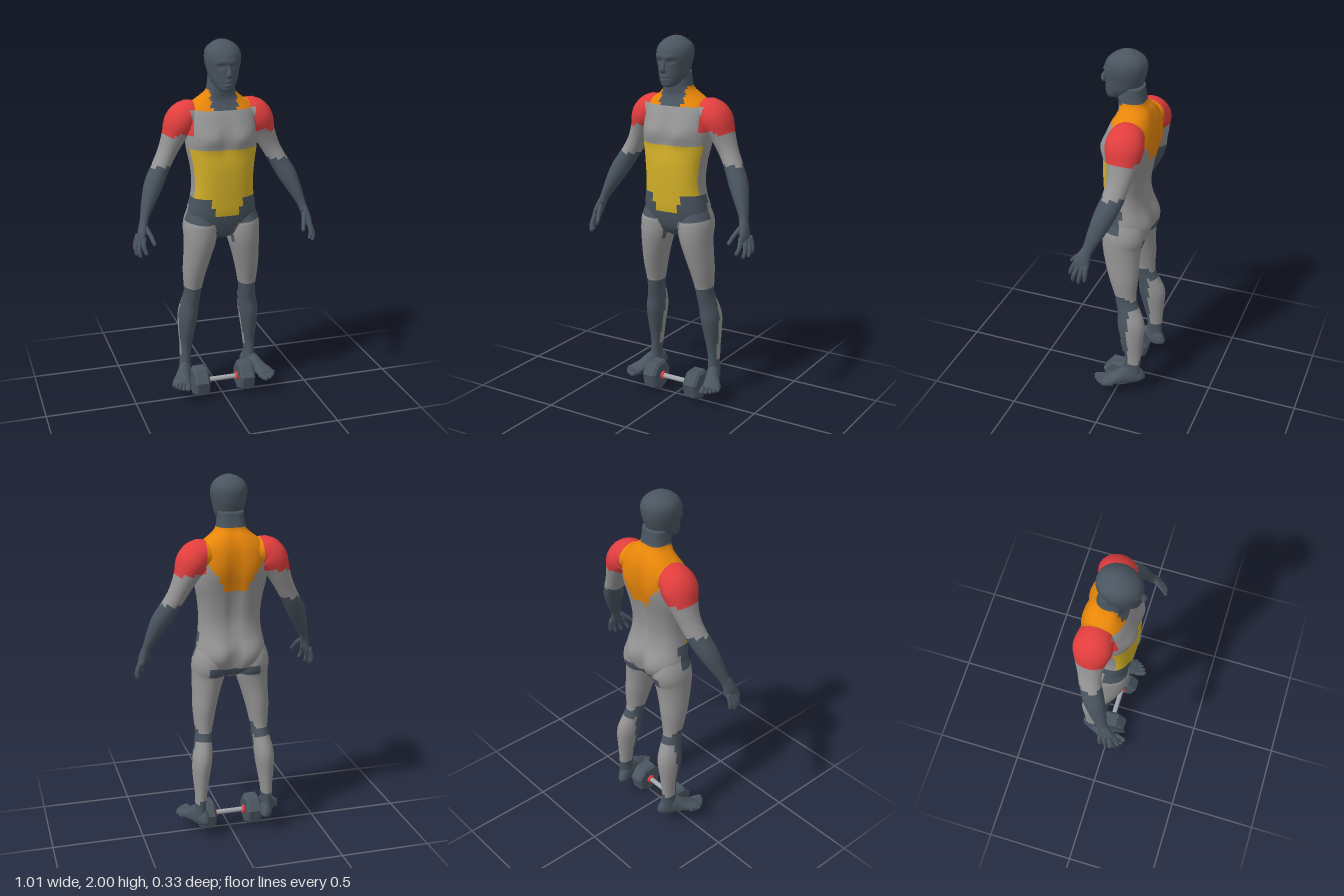
import * as THREE from 'three';

const mat = (name, color) => Object.assign(new THREE.MeshStandardMaterial({ color }), { name });
const DARK = 0, GREY = 1, RED = 2, ORANGE = 3, YELLOW = 4;

// Catmull-Rom resampling of rows of numbers
function smooth(rows, n) {
  const out = [], last = rows.length - 1;
  for (let i = 0; i <= n; i++) {
    const s = (i / n) * last, k = Math.min(Math.floor(s), last - 1), t = s - k;
    const at = (j) => rows[Math.max(0, Math.min(last, j))];
    out.push(rows[k].map((_, c) => {
      const [a, b, d, e] = [at(k - 1)[c], at(k)[c], at(k + 1)[c], at(k + 2)[c]];
      return b + 0.5 * t * (d - a + t * (2 * a - 5 * b + 4 * d - e + t * (3 * (b - d) + e - a)));
    }));
  }
  return out;
}

// Skin closed rings of points; paint(centre) picks the material index of each face
function loft(rings, paint = () => DARK) {
  const m = rings[0].length, pos = [], faces = [[], [], [], [], []];
  rings.flat().forEach((v) => pos.push(v.x, v.y, v.z));
  const ends = [rings[0], rings[rings.length - 1]].map((r) => {
    const c = r.reduce((s, v) => s.add(v), new THREE.Vector3()).divideScalar(m);
    pos.push(c.x, c.y, c.z);
    return { id: pos.length / 3 - 1, colour: paint(c.x, c.y, c.z) };
  });
  const top = (rings.length - 1) * m;
  for (let j = 0; j < m; j++) {
    const k = (j + 1) % m;
    for (let i = 0; i < rings.length - 1; i++) {
      const c = rings[i][j].clone().add(rings[i][k]).add(rings[i + 1][j]).add(rings[i + 1][k]).divideScalar(4);
      const a = i * m + j, b = i * m + k;
      faces[paint(c.x, c.y, c.z)].push(a, a + m, b, b, a + m, b + m);
    }
    faces[ends[0].colour].push(ends[0].id, j, k);
    faces[ends[1].colour].push(ends[1].id, top + k, top + j);
  }
  const g = new THREE.BufferGeometry();
  g.setAttribute('position', new THREE.Float32BufferAttribute(pos, 3));
  g.setIndex(faces.flat());
  let start = 0;
  faces.forEach((f, i) => { if (f.length) g.addGroup(start, f.length, i); start += f.length; });
  g.computeVertexNormals();
  return g;
}

// Horizontal sections: [y, half width, z front, z back]
function trunk(rows, n, segs, power, bend, paint) {
  return loft(smooth(rows, n).map(([y, w, zf, zb]) => Array.from({ length: segs }, (_, j) => {
    const a = (j / segs) * Math.PI * 2, c = Math.cos(a), s = Math.sin(a);
    const f = (q) => Math.sign(q) * Math.abs(q) ** power;
    return bend(new THREE.Vector3(w * f(c), y, (zf + zb) / 2 + ((zf - zb) / 2) * f(s)));
  })), paint);
}

// Sections across a path: [x, y, z, radius u, radius v]
function limb(rows, n, segs, paint, ref = new THREE.Vector3(0, 0, 1), floor = -1) {
  const p = smooth(rows, n), P = p.map((r) => new THREE.Vector3(r[0], r[1], r[2]));
  return loft(p.map((r, i) => {
    const t = P[Math.min(n, i + 1)].clone().sub(P[Math.max(0, i - 1)]).normalize();
    const u = t.clone().cross(ref).normalize(), v = u.clone().cross(t);
    return Array.from({ length: segs }, (_, j) => {
      const a = (j / segs) * Math.PI * 2;
      const q = P[i].clone().addScaledVector(u, Math.cos(a) * r[3]).addScaledVector(v, Math.sin(a) * r[4]);
      q.y = Math.max(floor, q.y);
      return q;
    });
  }), paint);
}

function mirrored(g) {
  const m = g.clone().scale(-1, 1, 1), ix = m.index.array;
  for (let i = 0; i < ix.length; i += 3) [ix[i], ix[i + 1]] = [ix[i + 1], ix[i]];
  return m;
}

// Muscle group map for the whole body
function skin(px, y, z) {
  const x = Math.abs(px);
  if (y > 0.85 && x > 0.235) return y < 1.35 ? DARK : y > 1.51 ? RED : GREY;
  if (y > 1.735 || (y > 1.64 && x < 0.07 && z > -0.03)) return DARK;
  if (y > 1.515 && x > (z > -0.06 ? 0.165 : 0.15)) return RED;
  if (z > -0.06 ? y > 1.64 : y > 1.42 + Math.max(0, x - 0.05) * 1.5) return ORANGE;
  if (z > 0.03 && y > 1.18 && y < 1.43) return YELLOW;
  if (z > 0.03 && y > 1.07 && y <= 1.18 && x < 0.05 + (y - 1.07) * 0.4) return YELLOW;
  if (z > -0.03 && y < 1.18 && y > (x < 0.05 ? 0.93 : 1.035)) return DARK;
  if (z < -0.03 && y > 0.94 && y < 0.985 && x < 0.13) return DARK;
  if (y < 0.65 && (y < 0.23 || z > -0.08 || (y > 0.575 && y < 0.625))) return DARK;
  return GREY;
}

const bump = (v, x, y, sx, sy) => Math.exp(-(((Math.abs(v.x) - x) / sx) ** 2) - ((v.y - y) / sy) ** 2);

export function createModel() {
  const model = new THREE.Group();
  model.name = 'anatomyFigure';
  const mats = [mat('slate', 0x4a5560), mat('grey', 0x959595), mat('red', 0xe23e3e),
    mat('orange', 0xee8a0a), mat('yellow', 0xd4b128)];
  const steel = mat('steel', 0xa2a6aa);
  const add = (name, g, m = mats, parent = model) => {
    const mesh = new THREE.Mesh(g, m);
    mesh.name = name;
    parent.add(mesh);
    return mesh;
  };
  const pair = (name, g) => { add('left' + name, g); add('right' + name, mirrored(g)); };

  // Torso and neck
  add('torso', trunk([
    [0.93, 0.03, 0.0, -0.07], [0.97, 0.1, 0.06, -0.12], [1.03, 0.18, 0.085, -0.14], [1.1, 0.185, 0.1, -0.14],
    [1.17, 0.172, 0.105, -0.122], [1.25, 0.165, 0.11, -0.112], [1.35, 0.173, 0.112, -0.125],
    [1.43, 0.188, 0.106, -0.143], [1.5, 0.193, 0.105, -0.158], [1.57, 0.19, 0.092, -0.162],
    [1.63, 0.18, 0.068, -0.156], [1.67, 0.15, 0.045, -0.143], [1.7, 0.11, 0.036, -0.128],
    [1.73, 0.079, 0.04, -0.106], [1.77, 0.071, 0.043, -0.096], [1.82, 0.066, 0.03, -0.09],
  ], 44, 44, 0.82, (v) => {
    if (v.z > 0) v.z += 0.02 * bump(v, 0.085, 1.5, 0.07, 0.05) - 0.008 * bump(v, 0, 1.5, 0.02, 0.1);
    else v.z += 0.024 * bump(v, 0, 1.4, 0.03, 0.28) - 0.022 * bump(v, 0.085, 1.06, 0.06, 0.06)
      + 0.02 * bump(v, 0, 1.03, 0.02, 0.07) - 0.008 * bump(v, 0.1, 1.54, 0.05, 0.08);
    return v;
  }, skin));

  // Head with brow, eye sockets, cheeks and lips
  add('head', trunk([
    [1.742, 0.02, 0.098, 0.05], [1.752, 0.04, 0.11, 0.02], [1.775, 0.058, 0.113, -0.03], [1.805, 0.073, 0.113, -0.068],
    [1.845, 0.083, 0.114, -0.088], [1.89, 0.093, 0.12, -0.1], [1.93, 0.093, 0.112, -0.102], [1.96, 0.08, 0.09, -0.088],
    [1.985, 0.05, 0.055, -0.056], [1.997, 0.022, 0.022, -0.03], [2.0, 0.003, 0, -0.008],
  ], 50, 48, 0.95, (v) => {
    if (v.z > 0) v.x *= 1 - 1.3 * v.z * v.z / 0.12;
    if (v.z > 0.04) v.z += 0.006 * bump(v, 0.03, 1.897, 0.03, 0.009) - 0.013 * bump(v, 0.034, 1.876, 0.018, 0.011)
      + 0.006 * bump(v, 0, 1.797, 0.022, 0.006) - 0.005 * bump(v, 0, 1.788, 0.03, 0.004)
      + 0.006 * bump(v, 0, 1.78, 0.02, 0.006);
    return v;
  }));
  add('nose', limb([[0, 1.885, 0.112, 0.006, 0.006], [0, 1.86, 0.12, 0.009, 0.011], [0, 1.838, 0.129, 0.014, 0.014],
    [0, 1.826, 0.126, 0.018, 0.011], [0, 1.818, 0.116, 0.009, 0.006]], 12, 12));
  pair('Eye', new THREE.SphereGeometry(0.011, 12, 8).scale(1.3, 0.7, 0.8).translate(0.034, 1.875, 0.093));
  pair('Ear', new THREE.SphereGeometry(0.036, 14, 10).scale(0.25, 1, 0.6).rotateY(-0.35).rotateX(-0.15).translate(0.096, 1.858, -0.004));

  // Arms
  pair('Arm', limb([
    [0.1, 1.595, -0.06, 0.06, 0.075], [0.17, 1.605, -0.06, 0.08, 0.092], [0.215, 1.565, -0.062, 0.083, 0.1],
    [0.25, 1.49, -0.064, 0.062, 0.08], [0.288, 1.41, -0.058, 0.05, 0.062], [0.328, 1.335, -0.043, 0.048, 0.058],
    [0.372, 1.255, -0.014, 0.05, 0.055], [0.41, 1.17, 0.018, 0.036, 0.043], [0.437, 1.1, 0.045, 0.023, 0.03],
    [0.447, 1.06, 0.062, 0.021, 0.031],
  ], 36, 24, skin));

  // Hands: palm, four fingers and thumb
  pair('Palm', limb([[0.443, 1.085, 0.052, 0.02, 0.028], [0.452, 1.05, 0.066, 0.022, 0.036],
    [0.463, 1.01, 0.077, 0.019, 0.044], [0.468, 0.985, 0.08, 0.011, 0.036]], 12, 16));
  const digits = [
    ['IndexFinger', [0.456, 1.01, 0.11], [0.462, 0.965, 0.133], [0.45, 0.93, 0.145]],
    ['MiddleFinger', [0.467, 1.0, 0.09], [0.483, 0.95, 0.11], [0.478, 0.912, 0.12]],
    ['RingFinger', [0.474, 1.0, 0.066], [0.492, 0.95, 0.077], [0.49, 0.912, 0.084]],
    ['LittleFinger', [0.475, 1.01, 0.046], [0.49, 0.965, 0.047], [0.492, 0.93, 0.05]],
    ['Thumb', [0.44, 1.055, 0.082], [0.423, 1.02, 0.122], [0.41, 0.982, 0.153]],
  ];
  for (const [name, a, b, c] of digits) {
    const tip = c.map((q, i) => q + (q - b[i]) * 0.13);
    pair(name, limb([[...a, 0.013, 0.013], [...b, 0.0115, 0.0115], [...c, 0.0095, 0.0095], [...tip, 0.003, 0.003]], 10, 10));
  }

  // Legs
  pair('Leg', limb([
    [0.19, 0.11, -0.1, 0.03, 0.045], [0.19, 0.15, -0.1, 0.032, 0.047], [0.19, 0.2, -0.1, 0.029, 0.045],
    [0.186, 0.28, -0.1, 0.034, 0.048], [0.183, 0.37, -0.093, 0.045, 0.063], [0.176, 0.47, -0.086, 0.054, 0.077],
    [0.165, 0.55, -0.069, 0.049, 0.064], [0.158, 0.61, -0.051, 0.046, 0.059], [0.155, 0.66, -0.045, 0.051, 0.062],
    [0.149, 0.75, -0.034, 0.063, 0.08], [0.135, 0.85, -0.02, 0.075, 0.095], [0.12, 0.95, -0.014, 0.09, 0.109],
    [0.116, 1.02, -0.025, 0.092, 0.115], [0.105, 1.1, -0.02, 0.075, 0.09],
  ], 46, 28, skin));

  // Feet turned outward, with toes
  const up = new THREE.Vector3(0, 1, 0), yaw = 0.34;
  const step = (f, s, w, h) => [0.19 + f * Math.sin(yaw) + s * Math.cos(yaw), 0.09 + h * 0.4,
    -0.1 + f * Math.cos(yaw) - s * Math.sin(yaw), w, h * 0.6];
  pair('Foot', limb([step(-0.056, 0, 0.012, 0.03), step(-0.045, 0, 0.027, 0.06), step(-0.01, 0, 0.034, 0.1),
    step(0.04, 0, 0.036, 0.095), step(0.09, 0.005, 0.043, 0.062), step(0.135, 0.01, 0.05, 0.04),
    step(0.165, 0.006, 0.045, 0.026)], 24, 20, undefined, up, 0.09));
  for (let i = 0; i < 5; i++) {
    const s = [-0.032, -0.008, 0.013, 0.032, 0.05][i], end = [0.214, 0.213, 0.203, 0.19, 0.173][i], w = i ? 0.0095 : 0.015;
    pair('Toe' + (i + 1), limb([step(end - 0.065, s, w, 0.024), step(end - 0.025, s, w, 0.024),
      step(end - 0.008, s, w, 0.022), step(end, s, w * 0.4, 0.01)], 9, 10, undefined, up, 0.09));
  }

  // Dumbbell between the feet
  const bell = new THREE.Group();
  bell.name = 'dumbbell';
  bell.position.y = 0.089;
  model.add(bell);
  const profile = [[0, -0.043], [0.074, -0.043], [0.089, -0.03], [0.089, 0.03], [0.074, 0.043], [0, 0.043]]
    .map(([x, y]) => new THREE.Vector2(x, y));
  const weight = new THREE.LatheGeometry(profile, 7, -Math.PI / 2).toNonIndexed();
  weight.computeVertexNormals();
  const rod = (r, len) => new THREE.CylinderGeometry(r, r, len, 20);
  const along = (name, g, m, x) => {
    const mesh = add(name, g, m, bell);
    mesh.rotation.z = Math.PI / 2;
    mesh.position.x = x;
  };
  along('grip', rod(0.014, 0.2), steel, 0);
  for (const s of [-1, 1]) {
    along('weight', weight, mats[DARK], s * 0.132);
    along('collar', rod(0.023, 0.014), mats[RED], s * 0.084);
  }
  return model;
}
